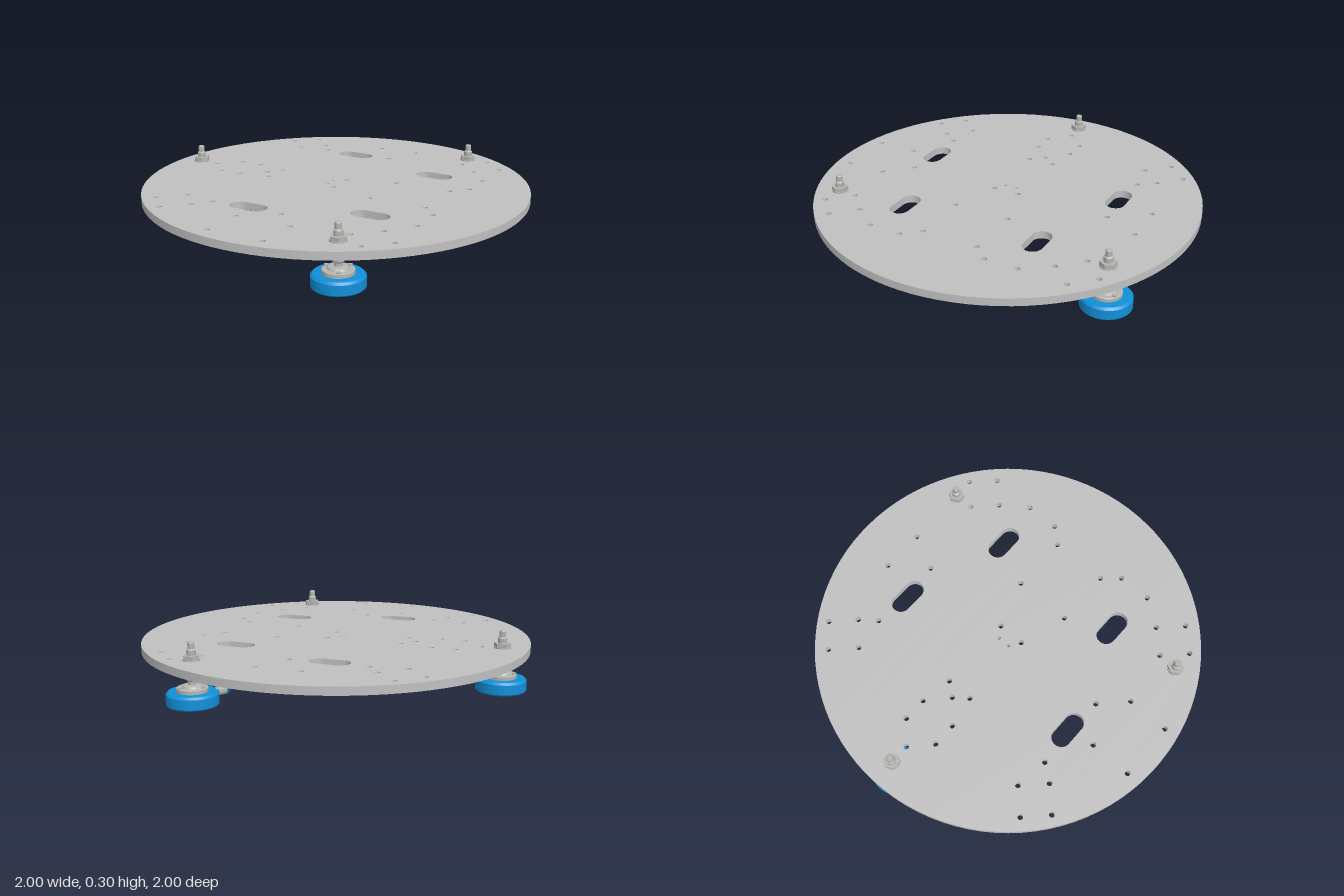
import * as THREE from 'three';
import { toCreasedNormals } from 'three/addons/utils/BufferGeometryUtils.js';

const mat = (name, color) => {
  const m = new THREE.MeshStandardMaterial({ color });
  m.name = name;
  return m;
};

export function createModel() {
  const root = new THREE.Group();
  root.name = 'airBearingTable';
  const plateGrey = mat('plate grey', 0xc0c0c0);
  const steel = mat('steel', 0xb4b4b0);
  const padBlue = mat('pad blue', 0x1090d8);
  const portBlue = mat('port blue', 0x1468c8);
  const black = mat('fitting black', 0x333336);

  const add = (parent, name, geo, m, x = 0, y = 0, z = 0) => {
    const mesh = new THREE.Mesh(geo, m);
    mesh.name = name;
    mesh.position.set(x, y, z);
    parent.add(mesh);
    return mesh;
  };
  // Turned part from [radius, height] pairs, bottom to top
  const turned = (pts, seg = 40) => toCreasedNormals(
    new THREE.LatheGeometry(pts.map(p => new THREE.Vector2(p[0], p[1])), seg), 0.5);
  const hexNut = (r, h) => toCreasedNormals(new THREE.CylinderGeometry(r, r, h, 6), 0.4);

  // Round plate with drilled holes and slots
  const disc = new THREE.Shape();
  disc.absarc(0, 0, 1, 0, Math.PI * 2);
  const hole = (x, z, r = 0.014) => {
    const p = new THREE.Path();
    p.absarc(x, -z, r, 0, Math.PI * 2, true);
    disc.holes.push(p);
  };
  const mirrored = [
    [-0.55, 0.763], [-0.66, 0.655], [-0.44, 0.655], [-0.55, 0.545],
    [0.55, 0.763], [0.44, 0.655], [0.657, 0.655], [0.55, 0.545],
    [-0.375, 0.57], [0.023, 0.57], [0.65, 0.407], [0.65, 0.233],
    [0.275, 0.15], [0.575, 0.15], [-0.663, 0.1], [-0.54, 0.1],
    [-0.375, 0.07], [0.023, 0.07],
  ];
  for (const [x, z] of mirrored) for (const s of [-1, 1]) hole(x, z * s);
  for (const x of [-0.113, 0.113]) hole(x, -0.753);
  for (const x of [-0.15, 0.15]) for (const z of [0.695, 0.913]) hole(x, z);
  for (const z of [-0.032, 0.032]) hole(-0.032, z, 0.009);
  hole(-0.43, 0);
  hole(-0.77, 0);
  for (const [x, z] of [[-0.175, 0.55], [0.395, 0.375]]) for (const s of [-1, 1]) {
    const p = new THREE.Path();
    p.absarc(x + 0.05, -z * s, 0.05, Math.PI / 2, -Math.PI / 2, true);
    p.absarc(x - 0.05, -z * s, 0.05, -Math.PI / 2, -Math.PI * 1.5, true);
    p.closePath();
    disc.holes.push(p);
  }
  const plateGeo = new THREE.ExtrudeGeometry(disc, { depth: 0.04, bevelEnabled: false, curveSegments: 48 });
  plateGeo.rotateX(-Math.PI / 2);
  add(root, 'plate', toCreasedNormals(plateGeo, 0.5), plateGrey, 0, 0.175, 0);

  // Levelling foot; its hose fitting points along local +x
  const makeFoot = () => {
    const foot = new THREE.Group();
    foot.name = 'foot';
    add(foot, 'pad', turned([[0, 0], [0.118, 0], [0.125, 0.007], [0.125, 0.055], [0.115, 0.066], [0, 0.066]], 56), padBlue);
    add(foot, 'padFlange', turned([[0.075, 0.064], [0.075, 0.083], [0.07, 0.086], [0.052, 0.086],
      [0.046, 0.096], [0.026, 0.1], [0, 0.1]]), steel);
    for (let i = 0; i < 3; i++) {
      const a = Math.PI / 3 + i * Math.PI * 2 / 3;
      add(foot, 'flangeScrew', new THREE.CylinderGeometry(0.01, 0.01, 0.01, 16), steel,
        Math.cos(a) * 0.062, 0.089, Math.sin(a) * 0.062);
    }
    // Ball stud, threaded through the plate
    add(foot, 'stud', turned([[0.02, 0.095], [0.02, 0.115], [0.028, 0.122], [0.028, 0.145], [0.022, 0.148],
      [0.022, 0.264], [0.016, 0.27], [0.016, 0.298], [0.013, 0.302], [0, 0.302]], 32), steel);
    add(foot, 'lowerNut', hexNut(0.045, 0.022), steel, 0, 0.15, 0);
    add(foot, 'lowerWasher', new THREE.CylinderGeometry(0.06, 0.06, 0.014, 36), steel, 0, 0.168, 0);
    add(foot, 'upperWasher', new THREE.CylinderGeometry(0.042, 0.042, 0.006, 36), steel, 0, 0.218, 0);
    add(foot, 'upperNut', hexNut(0.042, 0.022), steel, 0, 0.229, 0).rotation.y = Math.PI / 6;
    // Hose fitting
    const fitting = new THREE.Group();
    fitting.name = 'hoseFitting';
    fitting.position.y = 0.042;
    fitting.rotation.z = -Math.PI / 2;
    add(fitting, 'fittingBarrel', turned([[0.017, 0.115], [0.017, 0.132], [0.023, 0.136], [0.023, 0.18], [0, 0.18]], 28), steel);
    add(fitting, 'fittingCollar', turned([[0.017, 0.18], [0.025, 0.182], [0.025, 0.193], [0.022, 0.196],
      [0.011, 0.196], [0.011, 0.178]], 28), portBlue);
    foot.add(fitting);
    return foot;
  };
  for (let i = 0; i < 3; i++) {
    const a = Math.PI + i * Math.PI * 2 / 3;
    const foot = makeFoot();
    foot.position.set(Math.cos(a) * 0.872, 0.004, Math.sin(a) * 0.872);
    foot.rotation.y = Math.PI - a;
    root.add(foot);
  }

  // Four-way hose splitter under the plate centre
  const splitter = new THREE.Group();
  splitter.name = 'hoseSplitter';
  splitter.position.y = 0.15;
  for (let i = 0; i < 4; i++) {
    const arm = new THREE.Group();
    arm.name = 'splitterArm';
    arm.rotation.set(0, i * Math.PI / 2, -Math.PI / 2, 'YXZ');
    add(arm, 'armBody', turned([[0.013, 0.01], [0.019, 0.013], [0.019, 0.03], [0.025, 0.035], [0.025, 0.066],
      [0.013, 0.066], [0.013, 0.01]], 28), black);
    add(arm, 'armCollar', turned([[0.018, 0.066], [0.025, 0.068], [0.025, 0.077], [0.022, 0.08],
      [0.013, 0.08], [0.013, 0.06]], 28), portBlue);
    splitter.add(arm);
  }
  root.add(splitter);
  return root;
}
